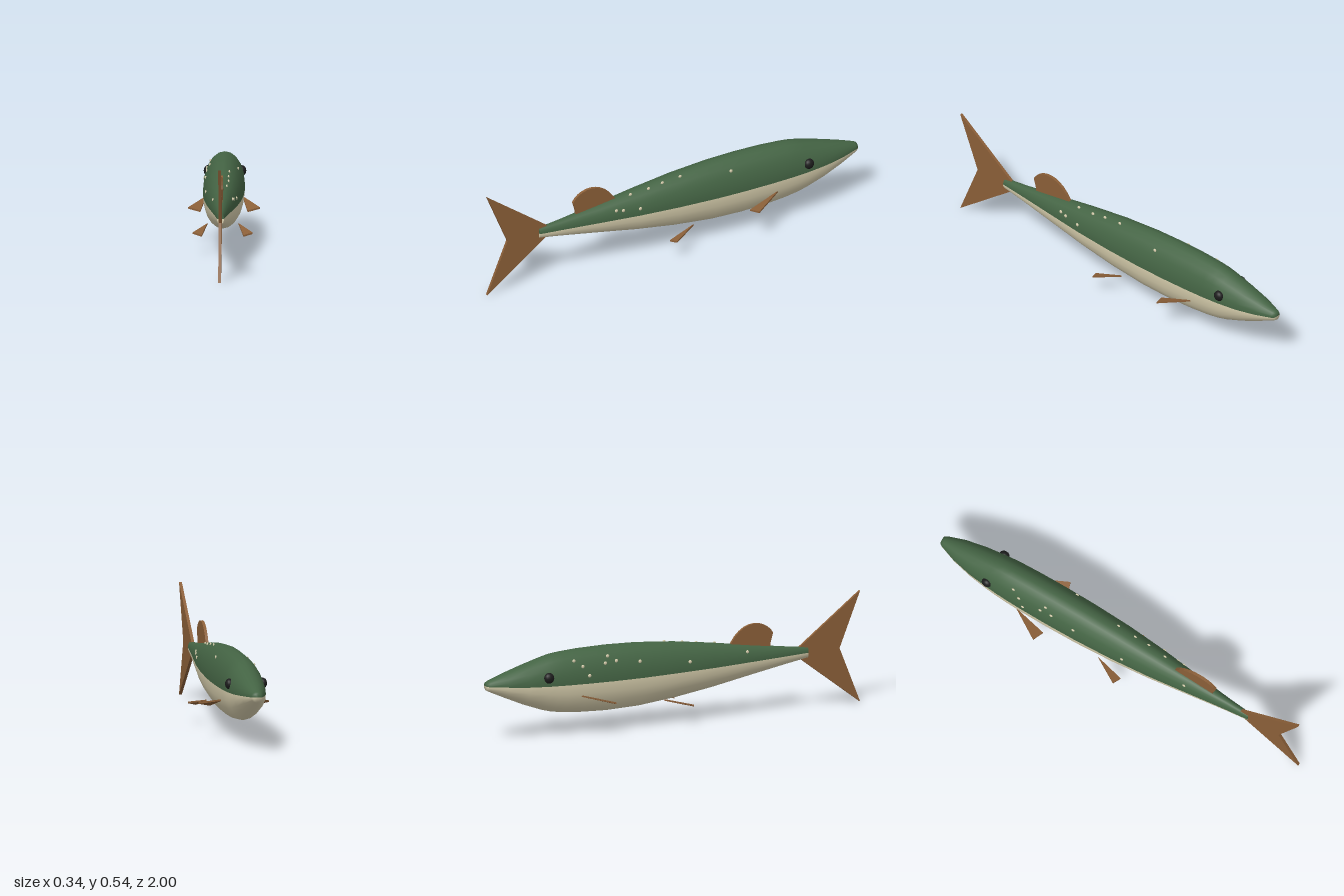
import * as THREE from 'three';
import { ConvexGeometry } from 'three/addons/geometries/ConvexGeometry.js';

const mat = (name, color) => Object.assign(new THREE.MeshStandardMaterial({ color }), { name });

// Elliptical cross-sections along the body: z, bottom y, top y, half width
const SECTIONS = [
  [-1, 0.275, 0.275, 0], [-0.998, 0.255, 0.293, 0.02], [-0.985, 0.247, 0.3, 0.029],
  [-0.9, 0.209, 0.329, 0.058], [-0.8, 0.166, 0.36, 0.078], [-0.7, 0.13, 0.389, 0.089],
  [-0.65, 0.117, 0.401, 0.093], [-0.6, 0.109, 0.407, 0.096], [-0.5, 0.1, 0.414, 0.099],
  [-0.36, 0.095, 0.417, 0.1], [-0.2, 0.1, 0.413, 0.098], [0, 0.122, 0.397, 0.09],
  [0.2, 0.153, 0.371, 0.074], [0.4, 0.19, 0.341, 0.051], [0.6, 0.226, 0.313, 0.028],
  [0.72, 0.246, 0.3, 0.017],
];
const TAIL_CAP = [[0.72, 0.246, 0.3, 0.017], [0.72, 0.273, 0.273, 0]];

// Lofts the ellipses; group 0 is the upper half, group 1 the lower half
function loft(sections, sides = 20) {
  const pos = [], halves = [[], []];
  sections.forEach(([z, lo, hi, w], i) => {
    for (let j = 0; j < sides; j++) {
      const a = (j / sides) * Math.PI * 2;
      pos.push(Math.cos(a) * w, (lo + hi) / 2 + Math.sin(a) * (hi - lo) / 2, z);
      if (i === sections.length - 1) continue;
      const p = i * sides + j, q = i * sides + (j + 1) % sides;
      halves[j < sides / 2 ? 0 : 1].push(p, q, p + sides, q, q + sides, p + sides);
    }
  });
  const g = new THREE.BufferGeometry();
  g.setAttribute('position', new THREE.Float32BufferAttribute(pos, 3));
  g.setIndex([...halves[0], ...halves[1]]);
  g.addGroup(0, halves[0].length, 0);
  g.addGroup(halves[0].length, halves[1].length, 1);
  g.computeVertexNormals();
  return g;
}

// Half width of the body surface at a given height and z
function surfaceX(y, z) {
  const i = Math.max(1, SECTIONS.findIndex((s) => s[0] >= z));
  const a = SECTIONS[i - 1], b = SECTIONS[i], t = (z - a[0]) / (b[0] - a[0]);
  const [, lo, hi, w] = a.map((v, k) => v + (b[k] - v) * t);
  const v = (y - (lo + hi) / 2) / ((hi - lo) / 2);
  return w * Math.sqrt(Math.max(0, 1 - v * v));
}

// Upright plate on the centre line, outlined in (z, y)
function uprightFin(shape) {
  const g = new THREE.ExtrudeGeometry(shape, { depth: 0.014, bevelEnabled: false, curveSegments: 10 });
  return g.translate(0, 0, -0.007).rotateY(-Math.PI / 2);
}

// Thin three-cornered side fin
function sideFin(corners, side) {
  const pts = corners.flatMap(([x, y, z]) => [0.004, -0.004].map((d) => new THREE.Vector3(side * x, y + d, z)));
  return new ConvexGeometry(pts);
}

export function createModel() {
  const model = new THREE.Group();
  const green = mat('back green', 0x446444);
  const cream = mat('belly cream', 0xd6cdac);
  const brown = mat('fin brown', 0x8b5f38);
  const black = mat('eye black', 0x1c1c1c);
  const add = (name, geometry, material) => {
    const m = new THREE.Mesh(geometry, material);
    m.name = name;
    model.add(m);
    return m;
  };

  // Body with green back and cream belly
  add('body', loft(SECTIONS), [green, cream]);
  add('tailStump', loft(TAIL_CAP), [green, cream]);

  // Forked tail
  const tail = new THREE.Shape([[0.64, 0.275], [1, 0.005], [0.89, 0.277], [1, 0.548]]
    .map(([z, y]) => new THREE.Vector2(z, y)));
  add('tailFin', uprightFin(tail), brown);

  // Rounded dorsal fin
  const dorsal = new THREE.Shape();
  dorsal.moveTo(0.31, 0.335);
  dorsal.lineTo(0.52, 0.31);
  dorsal.lineTo(0.52, 0.335);
  dorsal.lineTo(0.535, 0.388);
  dorsal.bezierCurveTo(0.5, 0.455, 0.38, 0.475, 0.31, 0.355);
  add('dorsalFin', uprightFin(dorsal), brown);

  // Paired fins and eyes
  for (const side of [1, -1]) {
    const label = side > 0 ? 'left' : 'right';
    add(label + 'PectoralFin', sideFin([[0.088, 0.198, -0.53], [0.171, 0.165, -0.385], [0.113, 0.152, -0.365]], side), brown);
    add(label + 'PelvicFin', sideFin([[0.075, 0.132, -0.08], [0.143, 0.106, 0.045], [0.1, 0.095, 0.062]], side), brown);
    const eye = add(label + 'Eye', new THREE.SphereGeometry(0.026, 16, 12), black);
    eye.scale.x = 0.8;
    eye.position.set(side * 0.081, 0.3, -0.7);
  }

  // Small pale spots on the flanks: side, z, y
  const spots = [
    [1, 0.325, 0.31], [1, 0.29, 0.305], [1, 0.205, 0.298], [1, 0.235, 0.36], [1, 0.14, 0.37],
    [1, 0.065, 0.381], [1, -0.03, 0.391], [1, -0.285, 0.37],
    [-1, 0.38, 0.315], [-1, 0.055, 0.306], [-1, -0.215, 0.336], [-1, -0.34, 0.35], [-1, -0.38, 0.375],
    [-1, -0.4, 0.345], [-1, -0.56, 0.368], [-1, -0.52, 0.34], [-1, -0.49, 0.295],
  ];
  const dot = new THREE.SphereGeometry(0.009, 8, 6);
  spots.forEach(([side, z, y], i) => {
    const spot = add('spot' + (i + 1), dot, cream);
    spot.scale.x = 0.5;
    spot.position.set(side * surfaceX(y, z), y, z);
  });
  return model;
}
